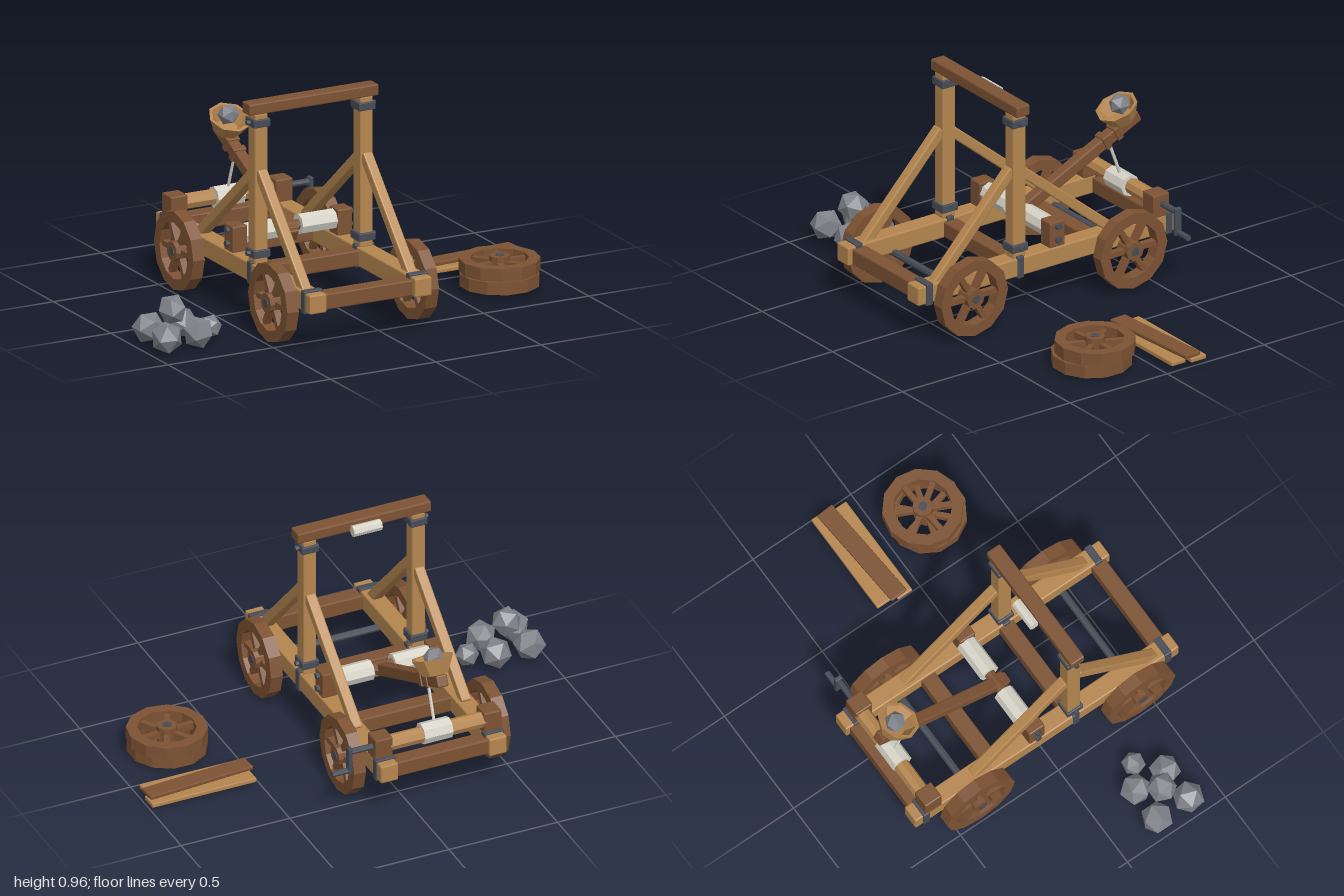
import * as THREE from 'three';
import { RoundedBoxGeometry } from 'three/addons/geometries/RoundedBoxGeometry.js';

const mat = (name, color) => new THREE.MeshStandardMaterial({ name, color, flatShading: true });

export function createModel() {
  const oak = mat('light oak', 0xb5864f);
  const walnut = mat('dark wood', 0x7d5233);
  const iron = mat('iron', 0x474c56);
  const rope = mat('rope', 0xd6d3c8);
  const rock = mat('stone', 0x7f8289);

  const root = new THREE.Group();
  root.name = 'siegeEngineSet';
  const engine = new THREE.Group();
  engine.name = 'catapult';
  engine.position.x = -0.13;
  root.add(engine);

  const add = (parent, name, geo, material, x, y, z) => {
    const m = new THREE.Mesh(geo, material);
    m.name = name;
    m.position.set(x, y, z);
    parent.add(m);
    return m;
  };
  // bevelled timber or plate
  const box = (parent, name, material, w, h, d, x, y, z, bevel = 0.006) =>
    add(parent, name, new RoundedBoxGeometry(w, h, d, 1, bevel), material, x, y, z);
  // cylinder lying along x
  const rod = (parent, name, material, r, len, x, y, z, sides = 8) =>
    add(parent, name, new THREE.CylinderGeometry(r, r, len, sides).rotateZ(Math.PI / 2), material, x, y, z);
  // slanted timber between two (y, z) points
  const slant = (name, material, w, t, x, y0, z0, y1, z1) => {
    const m = box(engine, name, material, w, t, Math.hypot(y1 - y0, z1 - z0), x, (y0 + y1) / 2, (z0 + z1) / 2);
    m.rotation.x = -Math.atan2(y1 - y0, z1 - z0);
    return m;
  };

  // spoked wheel, axis along x
  const ringPath = (Target, r) => {
    const p = new Target();
    for (let i = 0; i <= 12; i++) {
      const a = (i * Math.PI) / 6;
      p[i ? 'lineTo' : 'moveTo'](r * Math.cos(a), r * Math.sin(a));
    }
    return p;
  };
  const rimShape = ringPath(THREE.Shape, 0.172);
  rimShape.holes.push(ringPath(THREE.Path, 0.124));
  const rimGeo = new THREE.ExtrudeGeometry(rimShape, { depth: 0.055, bevelEnabled: false })
    .translate(0, 0, -0.0275).rotateY(Math.PI / 2);
  const makeWheel = (parent, name, x, y, z) => {
    const wheel = new THREE.Group();
    wheel.name = name;
    wheel.position.set(x, y, z);
    add(wheel, 'rim', rimGeo, walnut, 0, 0, 0);
    rod(wheel, 'hub', walnut, 0.043, 0.074, 0, 0, 0, 10);
    rod(wheel, 'hubCap', iron, 0.02, 0.08, 0, 0, 0);
    for (let i = 0; i < 3; i++) {
      const spoke = add(wheel, 'spokePair', new THREE.BoxGeometry(0.03, 0.024, 0.26), walnut, 0, 0, 0);
      spoke.rotation.x = (i * Math.PI) / 3;
    }
    parent.add(wheel);
    return wheel;
  };

  // axles
  for (const z of [0.434, -0.387]) rod(engine, 'axle', iron, 0.016, 0.68, 0, 0.175, z);

  // chassis cross members
  for (const z of [0.615, 0.145, -0.255, -0.62])
    box(engine, 'crossMember', walnut, 0.44, 0.07, 0.07, 0, 0.213, z);

  // both sides of the frame
  for (const s of [-1, 1]) {
    const x = s * 0.25;
    box(engine, 'sideRail', oak, 0.08, 0.083, 1.347, x, 0.217, 0);
    box(engine, 'post', oak, 0.06, 0.66, 0.065, x, 0.585, 0.145);
    slant('frontBrace', oak, 0.045, 0.045, x, 0.66, 0.17, 0.24, 0.565);
    slant('rearBrace', oak, 0.045, 0.045, x, 0.64, 0.12, 0.25, -0.35);
    for (const z of [0.617, 0.147, -0.618])
      box(engine, 'railStrap', iron, 0.09, 0.1, 0.033, x, 0.217, z, 0.004);
    for (const y of [0.873, 0.302]) {
      box(engine, 'postCollar', iron, 0.078, 0.036, 0.08, x, y, 0.145, 0.004);
      rod(engine, 'collarBolt', iron, 0.011, 0.03, s * 0.29, y, 0.145, 6);
    }
    // bearing block for the torsion bundle
    box(engine, 'torsionBlock', walnut, 0.07, 0.118, 0.078, x, 0.313, -0.048);
    for (const y of [0.35, 0.29]) rod(engine, 'blockBolt', iron, 0.014, 0.03, s * 0.285, y, -0.048);
    rod(engine, 'torsionBundle', rope, 0.045, 0.17, s * 0.135, 0.322, -0.055);
    // bearing block for the winch
    box(engine, 'winchBlock', walnut, 0.08, 0.105, 0.083, x, 0.304, -0.58);
    for (const z of [0.434, -0.387]) makeWheel(engine, 'wheel', s * 0.333, 0.175, z);
  }
  rod(engine, 'torsionCore', walnut, 0.024, 0.44, 0, 0.322, -0.055);

  // stop beam with padding
  box(engine, 'topBeam', walnut, 0.615, 0.05, 0.068, 0, 0.936, 0.145);
  rod(engine, 'stopPad', rope, 0.025, 0.13, 0, 0.922, 0.095);

  // throwing arm, built along local +z from its lower end
  const arm = new THREE.Group();
  arm.name = 'throwingArm';
  arm.position.set(0, 0.29, -0.007);
  arm.rotation.x = -Math.atan2(0.31, -0.653);
  engine.add(arm);
  const L = 0.723;
  box(arm, 'armBeam', walnut, 0.05, 0.052, L, 0, 0, L / 2);
  for (const d of [0.03, 0.535, 0.6]) box(arm, 'armBand', walnut, 0.062, 0.064, 0.03, 0, 0, d, 0.004);

  // bowl: the turned arm has local -y facing up
  const profile = [[0, 0], [0.058, 0], [0.094, 0.072], [0.08, 0.072], [0.048, 0.016], [0, 0.016]]
    .map(([r, y]) => new THREE.Vector2(r, y));
  const bowl = add(arm, 'bowl', new THREE.LatheGeometry(profile, 8), oak, 0, -0.026, 0.655);
  bowl.rotation.x = Math.PI;
  add(engine, 'loadedStone', new THREE.IcosahedronGeometry(0.047, 0), rock, 0, 0.667, -0.572);

  // winch with crank and pull rope
  rod(engine, 'winchDrum', oak, 0.035, 0.44, 0, 0.312, -0.588);
  rod(engine, 'ropeWrap', rope, 0.047, 0.13, 0, 0.312, -0.582);
  const pull = new THREE.LineCurve3(new THREE.Vector3(0, 0.52, -0.512), new THREE.Vector3(0, 0.335, -0.58));
  add(engine, 'pullRope', new THREE.TubeGeometry(pull, 1, 0.007, 6), rope, 0, 0, 0);
  rod(engine, 'crankAxle', iron, 0.014, 0.15, 0.325, 0.312, -0.585);
  box(engine, 'crankArm', iron, 0.018, 0.125, 0.032, 0.395, 0.27, -0.585, 0.003);
  rod(engine, 'crankHandle', iron, 0.013, 0.08, 0.435, 0.222, -0.585);

  // spare wheels lying in a stack
  [[0.738, 0.038, 0.2, 0.25], [0.745, 0.093, 0.187, 0.6]].forEach(([x, y, z, turn]) => {
    const w = makeWheel(root, 'spareWheel', x, y, z);
    w.rotation.set(0, turn, Math.PI / 2);
  });

  // spare planks
  box(root, 'plankA', oak, 0.48, 0.02, 0.077, 0.755, 0.021, -0.168, 0.004);
  box(root, 'plankB', oak, 0.48, 0.02, 0.073, 0.738, 0.021, -0.077, 0.004);
  box(root, 'plankC', walnut, 0.49, 0.018, 0.08, 0.748, 0.042, -0.122, 0.004).rotation.y = 0.076;

  // pile of stones: x, y, z, radius
  [[-0.93, 0.07, 0.2, 0.071], [-0.775, 0.07, 0.2, 0.07], [-0.93, 0.068, 0.36, 0.07],
    [-0.775, 0.066, 0.35, 0.07], [-0.858, 0.158, 0.275, 0.066], [-0.672, 0.052, 0.262, 0.052],
  ].forEach(([x, y, z, r], i) => {
    add(root, 'pileStone', new THREE.IcosahedronGeometry(r, 0), rock, x, y, z)
      .rotation.set(i * 0.7, i * 1.3, i * 0.4);
  });

  return root;
}
